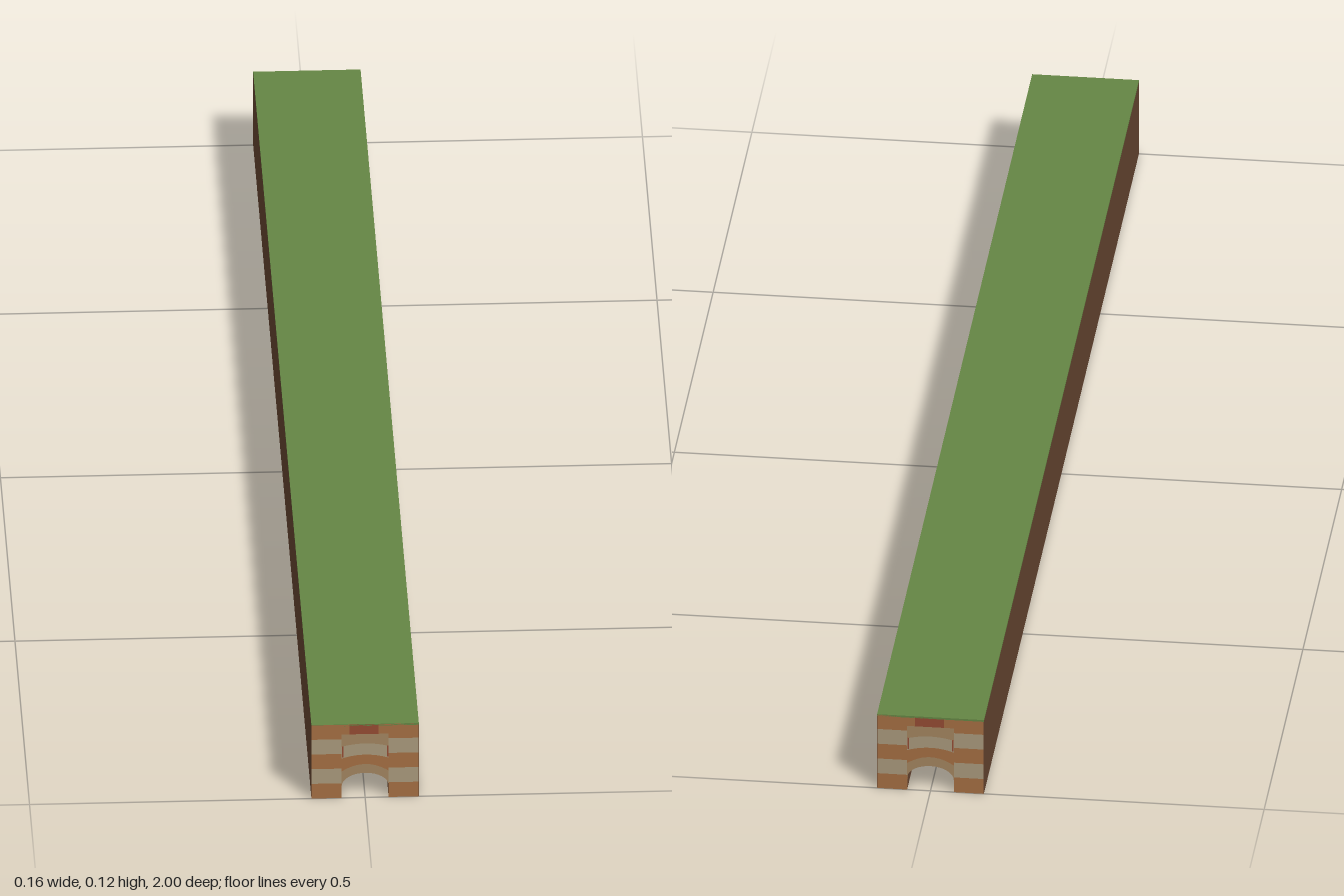
import * as THREE from 'three';

const W = 0.08, H = 0.125, L = 1;          // half width, height, half length
const R = 0.035, SPRING = 0.02, RISE = 0.022; // tunnel opening
const THICK = 0.01, STEPS = 16;

const mat = (color) => new THREE.MeshStandardMaterial({ color, roughness: 1, side: THREE.DoubleSide });
const brown = mat(0xa56f43), tan = mat(0xaa9a7c), darkTan = mat(0xa38560);
const red = mat(0x954b33), earth = mat(0x654430), grass = mat(0x658644);

// height of the tunnel vault, and of a gently arched brick course
const vault = (x) => SPRING + RISE * Math.sqrt(Math.max(0, 1 - (x / R) ** 2));
const course = (top, drop) => (x) => top - drop * (x / R) ** 2;
const level = (y) => () => y;

function add(parent, name, geometry, material) {
  const mesh = new THREE.Mesh(geometry, material);
  mesh.name = name;
  parent.add(mesh);
  return mesh;
}

function box(parent, name, x0, x1, y0, y1, z0, z1, material) {
  const g = new THREE.BoxGeometry(x1 - x0, y1 - y0, z1 - z0);
  g.translate((x0 + x1) / 2, (y0 + y1) / 2, (z0 + z1) / 2);
  return add(parent, name, g, material);
}

// brick course between a lower and an upper curve
function archCourse(parent, name, lower, upper, material) {
  const points = [];
  for (let i = 0; i <= STEPS; i++) {
    const x = -R * Math.cos(Math.PI * i / STEPS);
    points.push(new THREE.Vector2(x, lower(x)));
  }
  for (let i = STEPS; i >= 0; i--) {
    const x = -R * Math.cos(Math.PI * i / STEPS);
    points.push(new THREE.Vector2(x, upper(x)));
  }
  const g = new THREE.ExtrudeGeometry(new THREE.Shape(points), { depth: THICK, bevelEnabled: false });
  g.translate(0, 0, L - THICK);
  add(parent, name, g, material);
}

function createPortal() {
  const portal = new THREE.Group();
  const z0 = L - THICK, top = H - 0.0005, edge = W - 0.0003;

  // alternating courses on both sides of the opening
  for (let i = 0; i < 5; i++) {
    const y0 = i * 0.025, y1 = Math.min(y0 + 0.025, top);
    const m = i % 2 ? tan : brown;
    box(portal, 'sideCourse', R, edge, y0, y1, z0, L, m);
    box(portal, 'sideCourse', -edge, -R, y0, y1, z0, L, m);
  }

  // arched courses stacked above the opening
  const c1 = course(0.057, 0.012), c2 = course(0.073, 0.006), c3 = course(0.092, 0.005);
  archCourse(portal, 'archRing', vault, c1, darkTan);
  archCourse(portal, 'archCourse', c1, c2, brown);
  archCourse(portal, 'archCourse', c2, c3, tan);
  archCourse(portal, 'archCourse', c3, level(0.108), darkTan);

  // keystone with a brick on each side
  box(portal, 'keystone', -0.023, 0.02, 0.108, top, z0, L, red);
  box(portal, 'topBrick', -R, -0.023, 0.108, top, z0, L, brown);
  box(portal, 'topBrick', 0.02, R, 0.108, top, z0, L, brown);

  // narrow red joints beside the arched courses
  for (const s of [-1, 1]) {
    box(portal, 'joint', s * 0.0335 - 0.001, s * 0.0335 + 0.001, 0.069, 0.088, L - 0.002, L + 0.0005, red);
  }
  return portal;
}

export function createModel() {
  const model = new THREE.Group();
  model.name = 'tunnel';

  // grassy roof and earth walls, hollow and open underneath
  box(model, 'roof', -W, W, H - 0.003, H, -L, L, grass);
  for (const s of [-1, 1]) {
    const inner = s * (W - 0.008), outer = s * W;
    box(model, 'sideWall', Math.min(inner, outer), Math.max(inner, outer),
      0, H - 0.003, -L + 0.0005, L - 0.0005, earth);
  }

  // vaulted passage through the whole length
  const profile = [[-R, 0]];
  for (let i = 0; i <= STEPS; i++) {
    const x = -R * Math.cos(Math.PI * i / STEPS);
    profile.push([x, vault(x)]);
  }
  profile.push([R, 0]);
  const lining = new THREE.PlaneGeometry(1, 1, profile.length - 1, 1);
  const p = lining.attributes.position;
  for (let i = 0; i < p.count; i++) {
    const [x, y] = profile[i % profile.length];
    p.setXYZ(i, x, y, i < profile.length ? -L + 0.001 : L - 0.001);
  }
  lining.computeVertexNormals();
  add(model, 'passageLining', lining, earth);

  // matching brick portals at both ends
  const front = createPortal();
  front.name = 'frontPortal';
  const back = createPortal();
  back.name = 'backPortal';
  back.rotation.y = Math.PI;
  model.add(front, back);
  return model;
}
